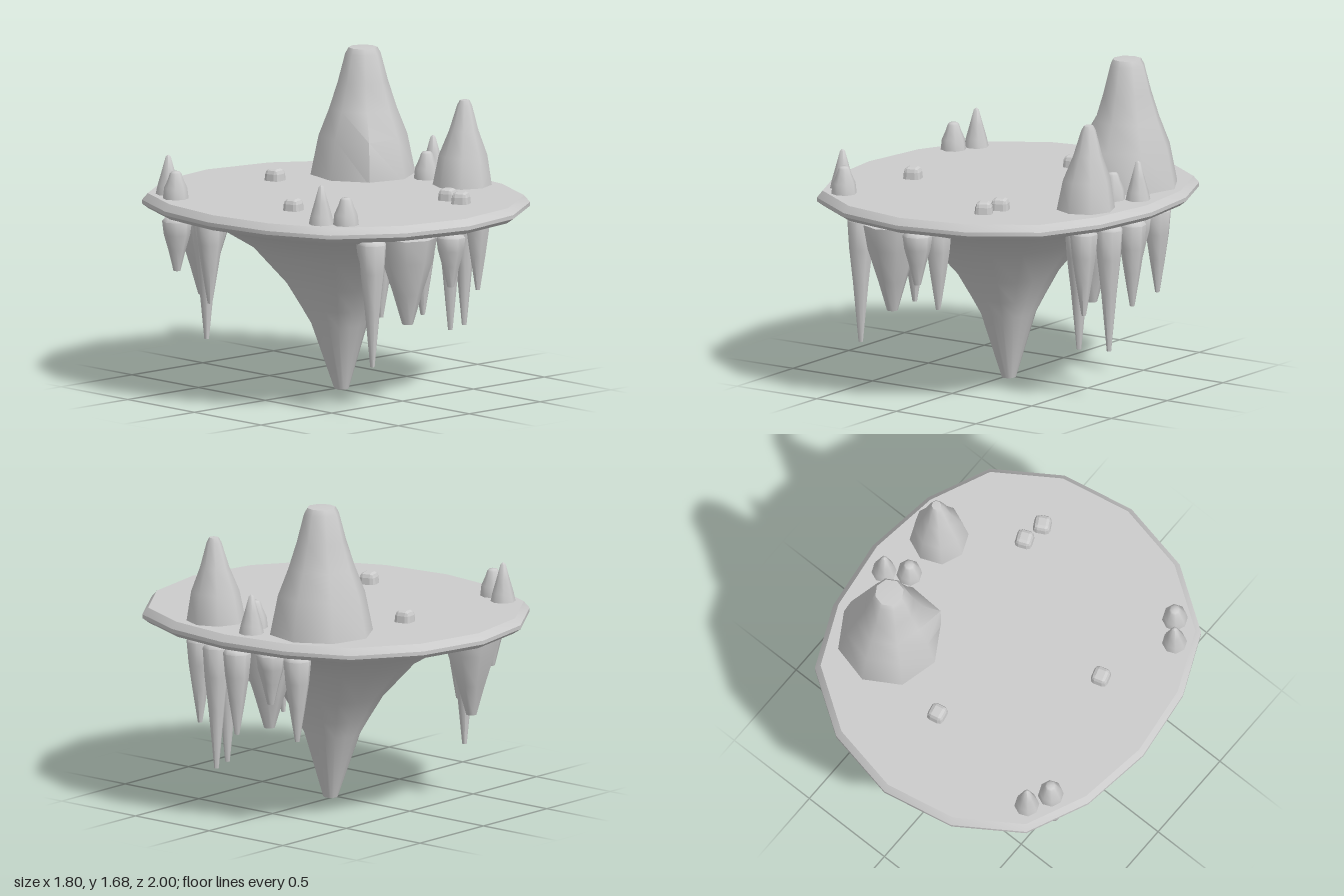
import * as THREE from 'three';
import { toCreasedNormals } from 'three/addons/utils/BufferGeometryUtils.js';
import { RoundedBoxGeometry } from 'three/addons/geometries/RoundedBoxGeometry.js';

const material = new THREE.MeshStandardMaterial({ color: 0xcccccc });
const GROUND = 1.015;

// Turned shape from [radius, y] pairs, bottom to top, with an optional rule to move vertices
function turned(profile, sides, crease, rule) {
  const geo = new THREE.LatheGeometry(profile.map(([r, y]) => new THREE.Vector2(r, y)), sides);
  if (rule) {
    const p = geo.attributes.position;
    const v = new THREE.Vector3();
    for (let i = 0; i < p.count; i++) {
      rule(v.fromBufferAttribute(p, i));
      p.setXYZ(i, v.x, v.y, v.z);
    }
  }
  return toCreasedNormals(geo, crease);
}

export function createModel() {
  const group = new THREE.Group();
  const add = (name, geo, x = 0, y = 0, z = 0, turn = 0) => {
    const mesh = new THREE.Mesh(geo, material);
    mesh.name = name;
    mesh.position.set(x, y, z);
    mesh.rotation.y = turn;
    group.add(mesh);
    return mesh;
  };

  // Floating island: flat top, thin rim, flared root; its sides are flattened in x
  const island = [[0, 0], [0.037, 0], [0.145, 0.34], [0.195, 0.43], [0.265, 0.55], [0.43, 0.735],
    [0.62, 0.845], [0.82, 0.905], [0.965, 0.935], [1, 0.96], [1, 0.98], [0.97, GROUND], [0, GROUND]];
  add('island', turned(island, 16, 0.6, v => {
    const r = Math.hypot(v.x, v.z);
    const limit = 0.7 * r;
    if (Math.abs(v.x) > limit) v.x = Math.sign(v.x) * (limit + (Math.abs(v.x) - limit) * 0.67);
    const lean = 0.02 * Math.max(0, 1 - v.y / 0.9);
    v.x += lean;
    v.z += lean;
  }));

  // Large and medium rock spires, with a slight bulge on one side
  const largeSpire = [[0.275, 1.0], [0.23, 1.22], [0.175, 1.36], [0.13, 1.5], [0.092, 1.645], [0.075, 1.675], [0, 1.68]];
  add('largeSpire', turned(largeSpire, 8, 0.95, v => {
    if (v.y > 1.1 && v.y < 1.3 && v.x < -0.05 && v.z > 0.05) { v.x *= 1.18; v.z *= 1.18; }
  }), 0.51, 0, -0.34, 0.15);
  const mediumSpire = [[0.155, 1.0], [0.125, 1.17], [0.075, 1.3], [0.038, 1.43], [0.025, 1.455], [0, 1.457]];
  add('mediumSpire', turned(mediumSpire, 8, 0.95, v => { v.x += (v.y - 1) * 0.04; }), 0.66, 0, 0.245);

  // Pairs of a pointed and a blunt small spire
  const pointed = turned([[0.068, 1.0], [0.055, 1.06], [0.035, 1.13], [0.013, 1.21], [0, 1.22]], 8, 0.95);
  const blunt = turned([[0.068, 1.0], [0.06, 1.07], [0.04, 1.115], [0.03, 1.145], [0.022, 1.155], [0, 1.157]], 8, 0.95);
  for (const [x, z] of [[-0.62, -0.6], [-0.64, 0.57], [0.76, -0.08]]) add('pointedSpire', pointed, x, 0, z);
  for (const [x, z] of [[-0.68, -0.48], [-0.56, 0.67], [0.65, -0.01]]) add('bluntSpire', blunt, x, 0, z);

  // Pebbles, narrower at the top
  const pebble = new RoundedBoxGeometry(0.1, 0.1, 0.1, 1, 0.025);
  const pp = pebble.attributes.position;
  for (let i = 0; i < pp.count; i++) {
    const k = 0.9 - pp.getY(i) * 2;
    pp.setX(i, pp.getX(i) * k);
    pp.setZ(i, pp.getZ(i) * k);
  }
  pebble.computeVertexNormals();
  [[0.05, -0.51], [-0.47, 0.18], [0.31, 0.51], [0.29, 0.63]].forEach(([x, z], i) =>
    add('pebble', pebble, x, 1.025, z, 0.2 + i * 0.1));

  // Hanging stalactites in four sizes, each with its [x, z] places
  const kinds = [
    {
      name: 'wideStalactite',
      profile: [[0, 0.46], [0.028, 0.46], [0.075, 0.62], [0.13, 0.79], [0.152, 0.915], [0, 0.93]],
      places: [[-0.2, 0.75], [-0.37, -0.6], [0.525, 0]],
    },
    {
      name: 'longStalactite',
      profile: [[0, 0.26], [0.012, 0.26], [0.042, 0.57], [0.063, 0.75], [0.073, 0.9], [0.06, 0.92], [0, 0.93]],
      places: [[-0.49, -0.45], [-0.42, 0.72], [0.6, 0.22], [0.75, 0.165]],
    },
    {
      name: 'mediumStalactite',
      profile: [[0, 0.47], [0.012, 0.47], [0.042, 0.65], [0.062, 0.78], [0.073, 0.9], [0.06, 0.92], [0, 0.93]],
      places: [[-0.57, -0.34], [0.01, 0.64], [0.78, 0], [0.7, -0.34], [0.7, 0.32], [-0.2, 0.55]],
    },
    {
      name: 'shortStalactite',
      profile: [[0, 0.64], [0.018, 0.64], [0.045, 0.75], [0.068, 0.83], [0.077, 0.9], [0.06, 0.92], [0, 0.93]],
      places: [[-0.69, -0.46], [-0.36, 0.64], [0.02, 0.84], [0.7, -0.16]],
    },
  ];
  for (const { name, profile, places } of kinds) {
    const geo = turned(profile, 8, 0.95);
    places.forEach(([x, z], i) => add(name, geo, x, 0, z, i * 0.3));
  }

  return group;
}
